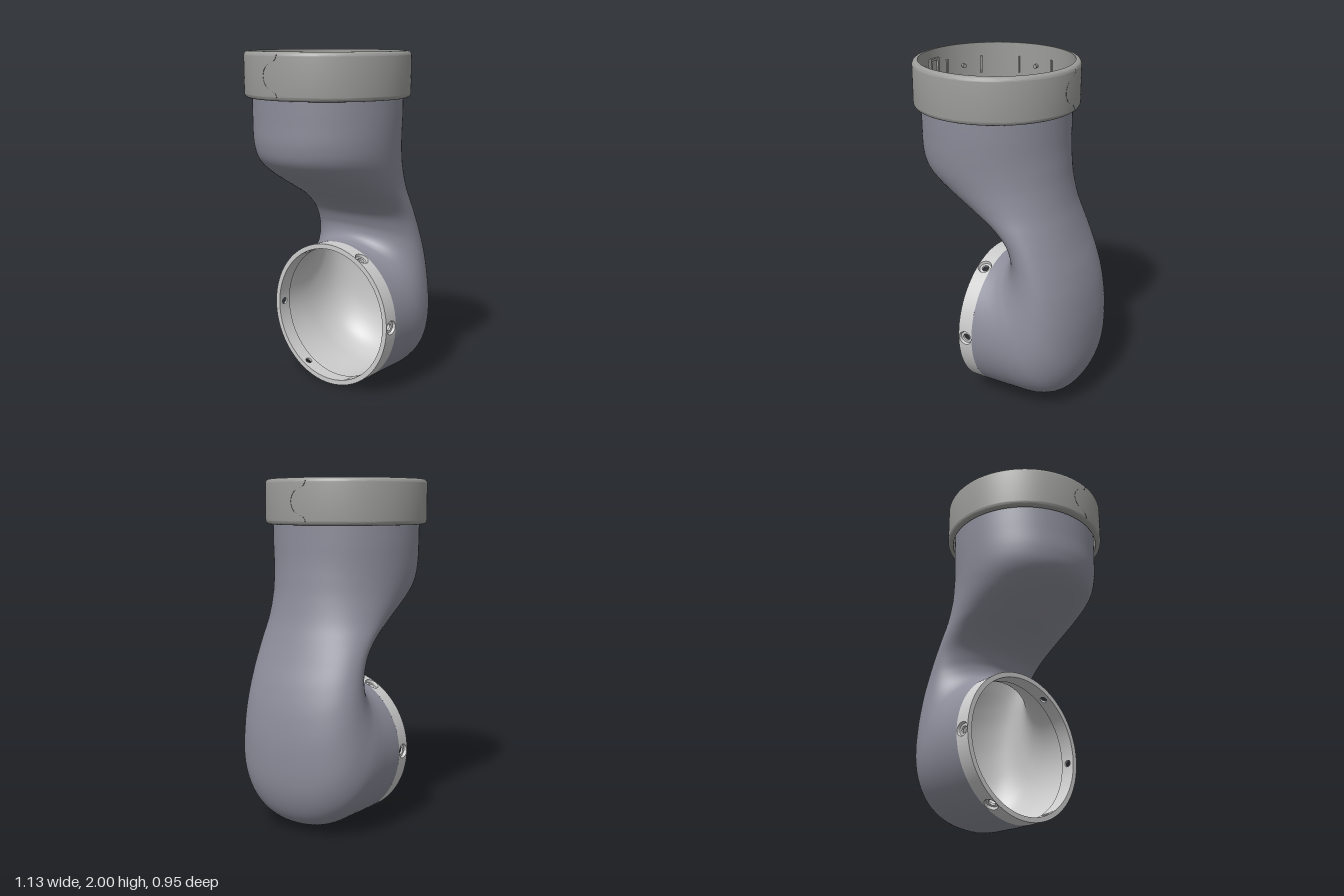
import * as THREE from 'three';
import { toCreasedNormals } from 'three/addons/utils/BufferGeometryUtils.js';

const paint = (color) => new THREE.MeshStandardMaterial({ color });
const bodyMat = paint(0x8c8c9a);
const collarMat = paint(0x9c9c9a);
const flangeMat = paint(0xcccccf);
const liningMat = paint(0xcccccc);
const seamMat = paint(0x555555);

const AXIS_X = -0.0925; // axis of the upper opening

function add(parent, name, geometry, material) {
  const mesh = new THREE.Mesh(geometry, material);
  mesh.name = name;
  parent.add(mesh);
  return mesh;
}

// Skin a list of closed rings (arrays of Vector3)
function loft(rings, closed = false) {
  const n = rings[0].length;
  const index = [];
  const last = closed ? rings.length : rings.length - 1;
  for (let i = 0; i < last; i++) {
    const k = (i + 1) % rings.length;
    for (let j = 0; j < n; j++) {
      const a = i * n + j, b = i * n + (j + 1) % n;
      const c = k * n + j, d = k * n + (j + 1) % n;
      index.push(a, b, c, b, d, c);
    }
  }
  const geometry = new THREE.BufferGeometry().setFromPoints(rings.flat());
  geometry.setIndex(index);
  geometry.computeVertexNormals();
  return geometry;
}

// Elbow stations: inner x, y, outer x, y, half width, fullness of the outer half
const stations = [
  [-0.525, 1.78, 0.34, 1.78, 0.432, 2],
  [-0.525, 1.62, 0.34, 1.65, 0.43, 2],
  [-0.522, 1.48, 0.341, 1.54, 0.423, 2],
  [-0.485, 1.38, 0.347, 1.45, 0.412, 2],
  [-0.38, 1.3, 0.358, 1.34, 0.395, 2],
  [-0.2, 1.205, 0.382, 1.21, 0.375, 2],
  [-0.05, 1.13, 0.415, 1.1, 0.365, 2],
  [0.05, 1.055, 0.455, 0.98, 0.36, 2.05],
  [0.09, 0.98, 0.505, 0.84, 0.363, 2.1],
  [0.096, 0.935, 0.543, 0.68, 0.372, 2.2],
  [0.085, 0.9, 0.561, 0.48, 0.387, 2.3],
  [0.062, 0.88, 0.545, 0.26, 0.408, 2.35],
  [0.04, 0.873, 0.475, 0.1, 0.426, 2.25],
  [0.025, 0.87, 0.36, 0.025, 0.433, 2.1],
  [0.012, 0.869, 0.19, 0.004, 0.434, 2],
  [0, 0.869, 0, 0, 0.4345, 2],
];

function elbowRings(inset) {
  const curve = (pick) => new THREE.CatmullRomCurve3(stations.map(pick), false, 'catmullrom', 0.5);
  const inner = curve((s) => new THREE.Vector3(s[0], s[1], 0));
  const outer = curve((s) => new THREE.Vector3(s[2], s[3], 0));
  const form = curve((s) => new THREE.Vector3(s[4], s[5], 0));
  const rings = [];
  const steps = 120, sides = 96;
  for (let i = 0; i <= steps; i++) {
    const a = inner.getPoint(i / steps), b = outer.getPoint(i / steps), f = form.getPoint(i / steps);
    const mid = a.clone().add(b).multiplyScalar(0.5);
    const half = a.distanceTo(b) / 2 - inset;
    const dir = b.clone().sub(a).normalize();
    const ring = [];
    for (let j = 0; j < sides; j++) {
      const t = (j / sides) * Math.PI * 2;
      const c = Math.cos(t), s = Math.sin(t);
      const e = c > 0 ? 2 / f.y : 1;
      const p = mid.clone().addScaledVector(dir, half * Math.sign(c) * Math.abs(c) ** e);
      p.z = (f.x - inset) * Math.sign(s) * Math.abs(s) ** e;
      ring.push(p);
    }
    rings.push(ring);
  }
  return rings;
}

// Ring of square profile around the y axis, over part of a turn
function band(points, segments, start = 0, length = Math.PI * 2) {
  const profile = points.map((p) => new THREE.Vector2(p[0], p[1]));
  profile.push(profile[0].clone());
  return toCreasedNormals(new THREE.LatheGeometry(profile, segments, start, length), 0.6);
}

// Wall patch with a countersunk screw hole, bent round the flange
function screwHole(rOut, rIn, height) {
  const half = height / 2, sides = 40;
  const outline = (size, r, square) => {
    const ring = [];
    for (let j = 0; j < sides; j++) {
      const t = (j / sides) * Math.PI * 2;
      const c = Math.cos(t), s = Math.sin(t);
      const k = square ? size / Math.max(Math.abs(c), Math.abs(s)) : size;
      const phi = (c * k) / rOut;
      ring.push(new THREE.Vector3(r * Math.sin(phi), half + s * k, r * Math.cos(phi)));
    }
    return ring;
  };
  const floor = rOut - 0.016;
  const rings = [
    outline(half, rOut, true), outline(0.041, rOut), outline(0.036, floor),
    outline(0.021, floor), outline(0.021, rIn), outline(half, rIn, true),
  ];
  return toCreasedNormals(loft(rings, true), 0.5);
}

function makeFlange() {
  const flange = new THREE.Group();
  flange.name = 'sideFlange';
  const rOut = 0.4345, rIn = 0.405, h = 0.09;
  const gap = h / 2 / rOut;
  const profile = [[rOut, 0], [rOut, h], [rIn, h], [rIn, 0]];
  for (let i = 0; i < 6; i++) {
    const phi = (i * Math.PI) / 3;
    add(flange, 'screwHole', screwHole(rOut, rIn, h), flangeMat).rotation.y = phi;
    add(flange, 'flangeWall', band(profile, 20, phi + gap, Math.PI / 3 - 2 * gap), flangeMat);
  }
  // Turn its axis to point sideways
  flange.rotation.z = Math.PI / 2;
  flange.position.y = 0.4345;
  return flange;
}

function makeCollar() {
  const collar = new THREE.Group();
  collar.name = 'clampCollar';
  collar.position.x = AXIS_X;
  const r = 0.475, ri = 0.442, c = 0.025;
  const profile = [[ri, 1.74], [r - c, 1.74]];
  for (let i = 0; i <= 6; i++) {
    const t = (i / 6) * Math.PI / 2;
    profile.push([r - c + c * Math.sin(t), 1.74 + c - c * Math.cos(t)]);
  }
  for (let i = 0; i <= 6; i++) {
    const t = (i / 6) * Math.PI / 2;
    profile.push([r - c + c * Math.cos(t), 2 - c + c * Math.sin(t)]);
  }
  profile.push([ri, 2]);
  add(collar, 'collarRing', band(profile, 128), collarMat);

  // Pegs and ribs on the inside wall
  const place = (name, geometry, phi, radius, y) => {
    const mesh = add(collar, name, geometry, collarMat);
    mesh.position.set(radius * Math.sin(phi), y, radius * Math.cos(phi));
    mesh.rotation.y = phi;
  };
  const peg = new THREE.CylinderGeometry(0.012, 0.012, 0.026, 16).rotateX(Math.PI / 2);
  const rib = new THREE.BoxGeometry(0.012, 0.1, 0.012);
  for (let i = 0; i < 6; i++) {
    const phi = (i * Math.PI) / 3;
    place('locatingPeg', peg, phi, 0.432, 1.87);
    for (const d of [-0.26, 0.26]) place('innerRib', rib, phi + d, 0.438, 1.87);
  }

  // Split joint on both sides, each with a clip frame behind it
  for (const side of [1, -1]) {
    const phi = (side * Math.PI) / 2;
    for (const d of [-0.085, 0.085]) place('clipPost', new THREE.BoxGeometry(0.014, 0.15, 0.014), phi + d, 0.436, 1.87);
    place('clipBar', new THREE.BoxGeometry(0.075, 0.014, 0.014), phi, 0.436, 1.94);
    const path = [[-0.05, 1.985], [-0.04, 1.96], [0.03, 1.92], [0.05, 1.87], [0.03, 1.82], [-0.04, 1.78], [-0.05, 1.755]]
      .map(([z, y]) => new THREE.Vector3(side * Math.sqrt((r - 0.001) ** 2 - z * z), y, side * z));
    add(collar, 'splitLine', new THREE.TubeGeometry(new THREE.CatmullRomCurve3(path), 40, 0.002, 6), seamMat);
  }
  return collar;
}

export function createModel() {
  const model = new THREE.Group();
  model.name = 'elbowHousing';

  // Hollow elbow: outer skin, inner lining and the lip between them
  add(model, 'elbowShell', loft(elbowRings(0)), bodyMat);
  add(model, 'elbowLining', loft(elbowRings(0.02).reverse()), liningMat);
  const lip = add(model, 'upperLip', new THREE.RingGeometry(0.412, 0.4325, 96), liningMat);
  lip.rotation.x = -Math.PI / 2;
  lip.position.set(AXIS_X, 1.78, 0);

  model.add(makeFlange(), makeCollar());
  return model;
}
